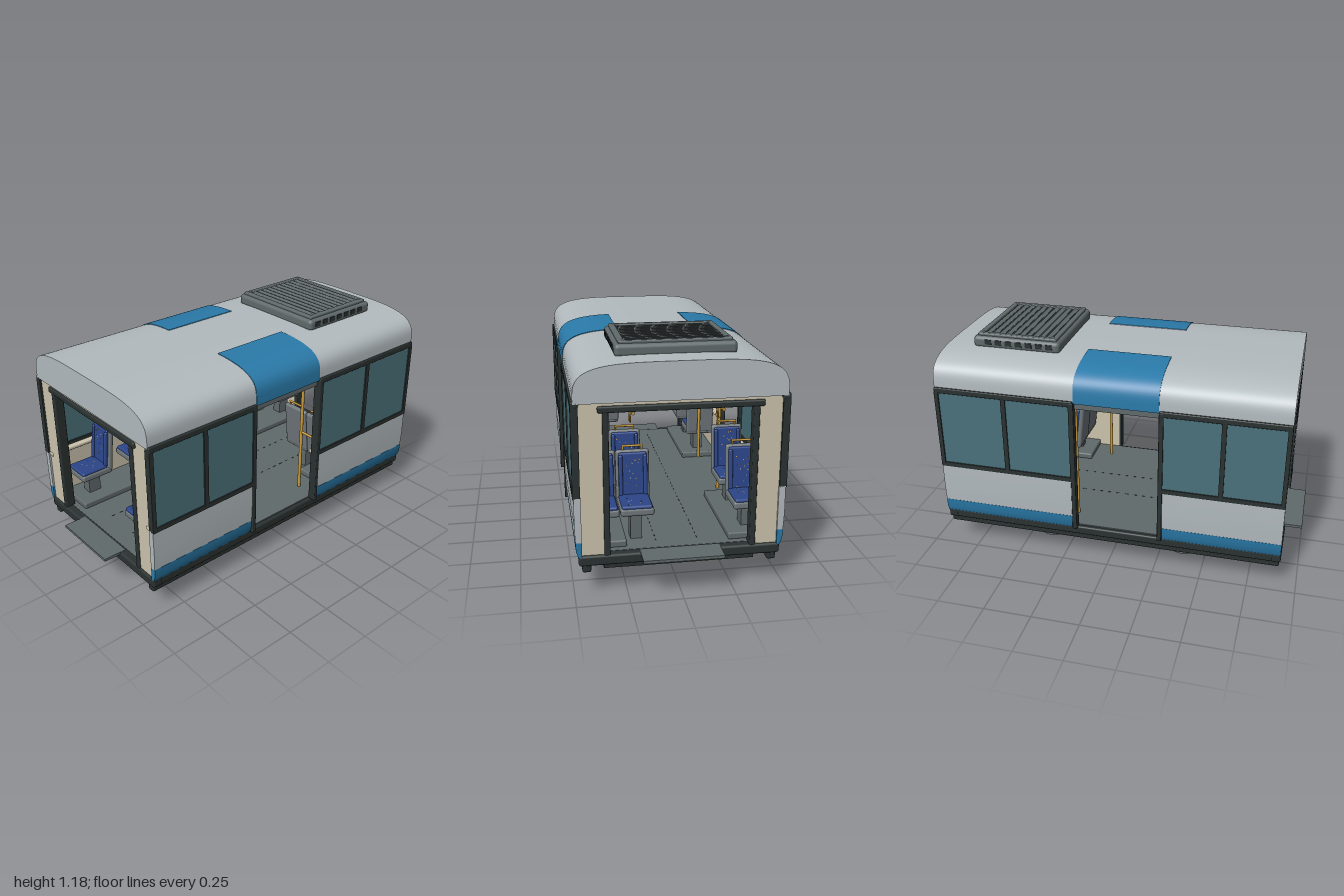
import * as THREE from 'three';
import { toCreasedNormals } from 'three/addons/utils/BufferGeometryUtils.js';
import { RoundedBoxGeometry } from 'three/addons/geometries/RoundedBoxGeometry.js';

const mat = (name, color) => {
  const m = new THREE.MeshStandardMaterial({ color });
  m.name = name;
  return m;
};

export function createModel() {
  const shell = mat('light grey', 0xb3bbbf), blue = mat('blue', 0x2a7aa9), dark = mat('charcoal', 0x2a3231);
  const grey = mat('mid grey', 0x616a6b), beige = mat('beige', 0xcdc4ae), glass = mat('window teal', 0x4a727b);
  const navy = mat('seat navy', 0x2b4589), gold = mat('handrail yellow', 0xcb9c3c), seatGrey = mat('seat grey', 0x70787c);

  const model = new THREE.Group();
  model.name = 'tramSection';
  const add = (parent, name, geo, material, x = 0, y = 0, z = 0) => {
    const m = new THREE.Mesh(geo, material);
    m.name = name;
    m.position.set(x, y, z);
    parent.add(m);
    return m;
  };
  // Box given by its limits on each axis; an optional radius rounds it.
  const box = (name, material, [x0, x1], [y0, y1], [z0, z1], r = 0, parent = model) => {
    const s = [Math.abs(x1 - x0), y1 - y0, Math.abs(z1 - z0)];
    const geo = r ? new RoundedBoxGeometry(...s, 2, r) : new THREE.BoxGeometry(...s);
    return add(parent, name, geo, material, (x0 + x1) / 2, (y0 + y1) / 2, (z0 + z1) / 2);
  };
  // Cylinder running between two points.
  const rod = (name, material, a, b, r, sides = 10, parent = model) => {
    const p = new THREE.Vector3(...a), q = new THREE.Vector3(...b), d = q.clone().sub(p);
    const m = add(parent, name, new THREE.CylinderGeometry(r, r, d.length(), sides), material);
    m.position.copy(p).add(q).multiplyScalar(0.5);
    m.quaternion.setFromUnitVectors(new THREE.Vector3(0, 1, 0), d.normalize());
    return m;
  };
  // Outline in x/y extruded from z0 to z1.
  const extrude = (name, material, points, z0, z1) => {
    const shape = new THREE.Shape(points.map(([x, y]) => new THREE.Vector2(x, y)));
    const geo = new THREE.ExtrudeGeometry(shape, { depth: z1 - z0, bevelEnabled: false });
    return add(model, name, toCreasedNormals(geo, 0.6), material, 0, 0, z0);
  };

  // Roof: superellipse arch
  const N = 3.9;
  const arch = (t, grow = 0) => {
    const c = Math.cos(t), s = Math.sin(t);
    return [Math.sign(c) * (0.488 + grow) * Math.abs(c) ** (2 / N), 0.935 + (0.179 + grow) * Math.max(s, 0) ** (2 / N)];
  };
  const steps = 48;
  extrude('roof', shell, Array.from({ length: steps + 1 }, (_, i) => arch(Math.PI * i / steps)), -0.91, 0.91);
  box('ceiling', beige, [-0.46, 0.46], [0.921, 0.935], [-0.9, 0.9]);

  // Blue roof panels above the doors
  const doorBack = -0.165, doorFront = 0.27;
  const tEnd = Math.acos((0.2 / 0.488) ** (N / 2));
  for (const s of [1, -1]) {
    const outer = [], inner = [];
    for (let i = 0; i <= 20; i++) {
      const t = tEnd * i / 20;
      const [ox, oy] = arch(t, 0.003), [ix, iy] = arch(t, -0.002);
      outer.push([s * ox, oy]);
      inner.unshift([s * ix, iy]);
    }
    extrude('roofDoorPanel', blue, [...outer, ...inner], doorBack, doorFront);
  }

  // Roof cooling unit
  box('coolerBase', grey, [-0.285, 0.285], [1.1, 1.162], [-0.765, -0.297], 0.02);
  box('coolerWell', dark, [-0.237, 0.237], [1.15, 1.165], [-0.715, -0.345]);
  for (const s of [1, -1]) {
    box('coolerRimSide', grey, [s * 0.235, s * 0.265], [1.15, 1.175], [-0.745, -0.317], 0.006);
    box('coolerRimEnd', grey, [-0.265, 0.265], [1.15, 1.175], [-0.531 + s * 0.186, -0.531 + s * 0.214], 0.006);
    for (let i = 0; i < 7; i++) {
      const z = -0.7 + i * 0.055;
      box('coolerSideVent', dark, [s * 0.28, s * 0.288], [1.122, 1.148], [z, z + 0.035]);
    }
    for (const z of [-0.72, -0.342]) add(model, 'coolerBolt', new THREE.CylinderGeometry(0.008, 0.008, 0.006, 8), shell, s * 0.24, 1.176, z);
  }
  for (let i = 0; i < 10; i++) {
    const slat = add(model, 'coolerSlat', new THREE.BoxGeometry(0.47, 0.005, 0.022), grey, 0, 1.168, -0.695 + i * 0.0365);
    slat.rotation.x = 0.3;
  }

  // Side walls: lower panels, windows and door posts
  for (const s of [1, -1]) {
    for (const [z0, z1, mid] of [[0.272, 0.91, 0.59], [-0.91, -0.167, -0.535]]) {
      extrude('lowerPanel', shell, [[0.462, 0.275], [0.491, 0.275], [0.495, 0.36], [0.494, 0.495], [0.462, 0.495]].map(([x, y]) => [s * x, y]), z0, z1);
      extrude('bluePanel', blue, [[0.462, 0.2], [0.478, 0.2], [0.489, 0.23], [0.492, 0.276], [0.462, 0.276]].map(([x, y]) => [s * x, y]), z0, z1);
      box('innerLining', beige, [s * 0.452, s * 0.463], [0.2, 0.495], [z0 + 0.01, z1 - 0.01]);
      box('innerSill', beige, [s * 0.43, s * 0.465], [0.478, 0.5], [z0 + 0.01, z1 - 0.005], 0.008);
      box('windowGlass', glass, [s * 0.474, s * 0.492], [0.5, 0.925], [z0 + 0.01, z1 - 0.01]);
      box('windowBottomRail', dark, [s * 0.464, s * 0.499], [0.49, 0.514], [z0, z1]);
      box('windowTopRail', dark, [s * 0.464, s * 0.499], [0.916, 0.946], [z0, z1], 0.005);
      for (const [a, b] of [[z0, z0 + 0.022], [mid - 0.012, mid + 0.012], [z1 - 0.022, z1]])
        box('windowPost', dark, [s * 0.464, s * 0.499], [0.51, 0.92], [a, b]);
    }
    for (const z of [doorBack - 0.01, doorFront + 0.012]) {
      box('doorPost', dark, [s * 0.455, s * 0.5], [0.2, 0.94], [z - 0.012, z + 0.012], 0.005);
    }
    box('doorLintel', grey, [s * 0.42, s * 0.475], [0.9, 0.937], [doorBack, doorFront]);
    box('skirt', dark, [s * 0.42, s * 0.462], [0.12, 0.17], [-0.905, 0.905], 0.01);
  }

  // Open ends: beige pillars, dark frame, sill and crossing plate
  for (const e of [1, -1]) {
    for (const s of [1, -1]) {
      box('endPillar', beige, [s * 0.355, s * 0.464], [0.2, 0.925], [e * 0.865, e * 0.9]);
      box('endFramePost', dark, [s * 0.33, s * 0.358], [0.2, 0.91], [e * 0.855, e * 0.908], 0.006);
    }
    box('endLintel', dark, [-0.38, 0.38], [0.89, 0.921], [e * 0.865, e * 0.912], 0.008);
    box('endSill', dark, [-0.478, 0.478], [0.155, 0.207], [e * 0.86, e * 0.912], 0.012);
    box('crossingPlate', grey, [-0.19, 0.19], [0.194, 0.208], [e * 0.88, e]);
  }

  // Floor and underframe
  box('floorFrame', dark, [-0.475, 0.475], [0.156, 0.202], [-0.905, 0.905], 0.008);
  box('floor', grey, [-0.455, 0.455], [0.2, 0.208], [-0.87, 0.87]);
  box('underframe', dark, [-0.36, 0.36], [0.125, 0.16], [-0.88, 0.88]);
  box('underfloorBox', dark, [-0.2, 0.2], [0.11, 0.13], [-0.13, 0.13], 0.006);
  for (const s of [1, -1]) for (let z = -0.8; z < 0.8; z += 0.05)
    box('floorDash', dark, [s * 0.098, s * 0.102], [0.207, 0.2095], [z, z + 0.02]);

  // Wheels and axles
  for (const z of [0.378, -0.376]) {
    rod('axle', grey, [-0.28, 0.12, z], [0.28, 0.12, z], 0.028, 16);
    for (const s of [1, -1]) {
      const disc = (name, m, x0, x1, r) => rod(name, m, [s * x0, 0.116, z], [s * x1, 0.116, z], r, 32);
      disc('wheelFlange', grey, 0.264, 0.275, 0.116);
      disc('wheelTread', grey, 0.274, 0.32, 0.106);
      disc('wheelRecess', dark, 0.318, 0.323, 0.082);
      disc('wheelHub', grey, 0.32, 0.333, 0.066);
      disc('axleBox', grey, 0.33, 0.383, 0.042);
    }
  }

  // Seats
  let seed = 7;
  const rand = () => (seed = (seed * 16807) % 2147483647) / 2147483647;
  const seat = (x, z, facing, base) => {
    const g = new THREE.Group();
    g.name = 'seat';
    g.position.set(x, 0, z);
    g.rotation.y = facing > 0 ? 0 : Math.PI;
    model.add(g);
    box('seatPedestal', grey, [-0.028, 0.028], [base, 0.36], [0.05, 0.12], 0, g);
    box('seatPan', seatGrey, [-0.08, 0.08], [0.348, 0.387], [-0.005, 0.18], 0.012, g);
    box('seatCushion', navy, [-0.073, 0.073], [0.378, 0.4], [0.02, 0.176], 0.01, g);
    const back = new THREE.Group();
    back.name = 'backrest';
    back.position.set(0, 0.37, 0.01);
    back.rotation.x = -0.1;
    g.add(back);
    box('backShell', seatGrey, [-0.082, 0.082], [-0.01, 0.247], [-0.018, 0.012], 0.014, back);
    box('backCushion', navy, [-0.068, 0.068], [0.015, 0.235], [0, 0.02], 0.009, back);
    for (const s of [1, -1]) box('backBolster', navy, [s * 0.05, s * 0.07], [0.02, 0.225], [0.005, 0.03], 0.008, back);
    for (let i = 0; i < 22; i++) {
      const u = (rand() - 0.5) * 0.09, v = rand(), w = 0.003 + rand() * 0.003;
      const onBack = i < 15;
      const speck = add(onBack ? back : g, 'fabricSpeck', new THREE.BoxGeometry(w, w, 0.002), i % 3 ? gold : shell,
        u, onBack ? 0.03 + v * 0.185 : 0.4, onBack ? 0.0205 : 0.04 + v * 0.12);
      if (!onBack) speck.rotation.x = -Math.PI / 2;
    }
    rod('seatHandle', gold, [-0.052, 0.265, 0], [0.052, 0.265, 0], 0.006, 8, back);
    for (const s of [1, -1]) rod('seatHandleLeg', gold, [s * 0.046, 0.24, 0], [s * 0.046, 0.265, 0], 0.005, 8, back);
  };
  for (const e of [1, -1]) {
    for (const s of [1, -1]) {
      box('seatPlinth', grey, [s * 0.245, s * 0.453], [0.205, 0.24], [e * 0.3, e * 0.84], 0.008);
      seat(s * 0.355, e * 0.64, e, 0.235);
      seat(s * 0.355, e * 0.33, e, 0.235);
    }
    seat(0.19, e * 0.64, e, 0.2);
  }
  seat(0.19, -0.33, -1, 0.2);

  // Handrails, door poles and hanging straps
  box('ceilingDuct', dark, [-0.185, 0.185], [0.855, 0.925], [-0.76, -0.3], 0.01);
  for (const s of [1, -1]) {
    rod('ceilingRail', gold, [s * 0.21, 0.855, -0.82], [s * 0.21, 0.855, 0.82], 0.008);
    for (const z of [-0.8, -0.4, 0.4, 0.8]) rod('railHanger', grey, [s * 0.21, 0.855, z], [s * 0.21, 0.925, z], 0.006);
    for (const z of [-0.7, -0.5, -0.3, 0.36, 0.54, 0.72]) {
      box('strap', gold, [s * 0.21 - 0.004, s * 0.21 + 0.004], [0.815, 0.855], [z - 0.006, z + 0.006]);
      const loop = add(model, 'strapLoop', new THREE.TorusGeometry(0.024, 0.005, 6, 3), gold, s * 0.21, 0.797, z);
      loop.rotation.set(0, Math.PI / 2, 0);
      loop.rotateZ(Math.PI / 2);
    }
    for (const z of [doorBack - 0.035, doorFront + 0.035]) {
      rod('doorPole', gold, [s * 0.345, 0.2, z], [s * 0.345, 0.925, z], 0.009);
      rod('doorGrabBar', gold, [s * 0.345, 0.56, z], [s * 0.46, 0.56, z], 0.007);
    }
  }
  return model;
}
